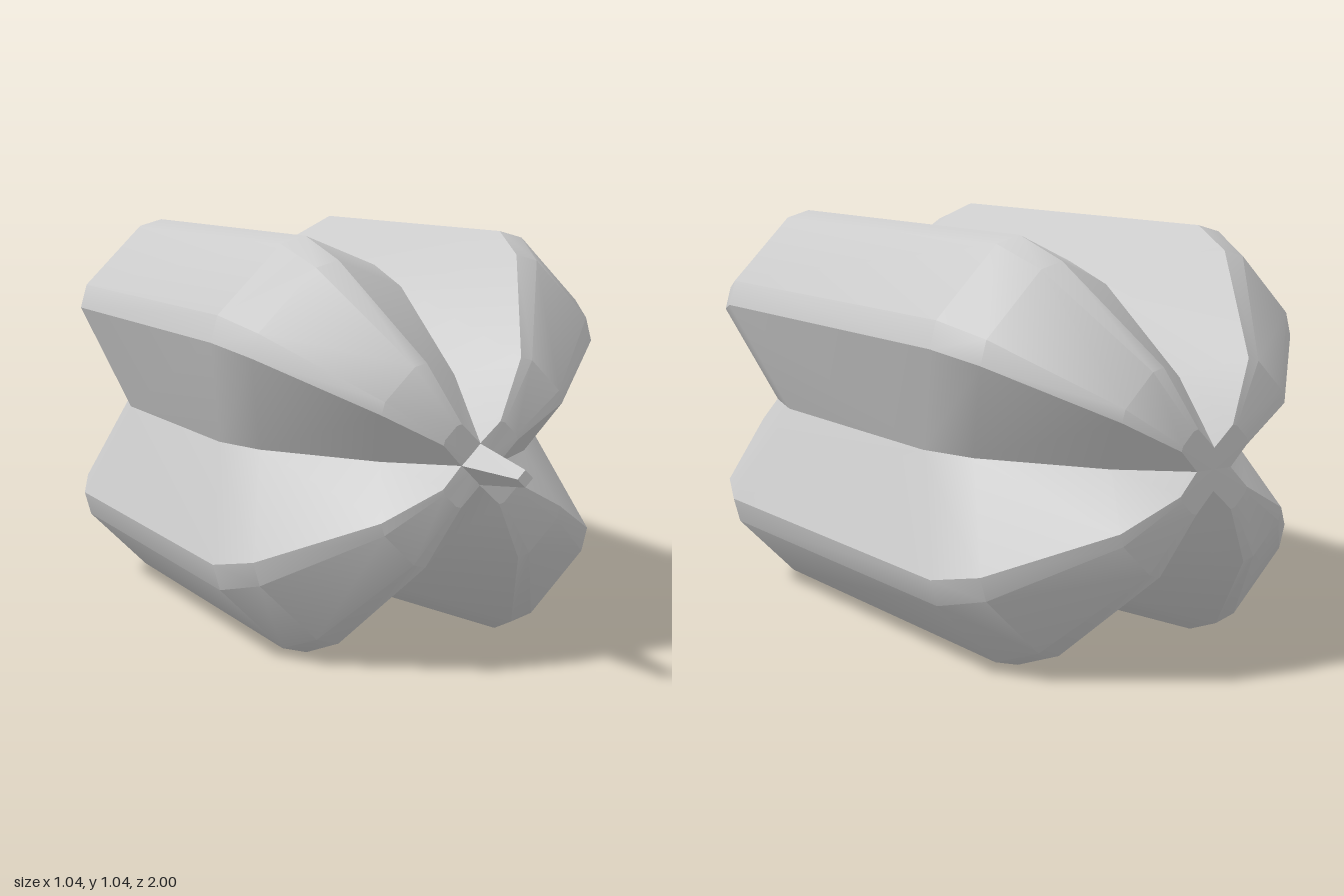
import * as THREE from 'three';
import { toCreasedNormals } from 'three/addons/utils/BufferGeometryUtils.js';

const CENTER_Y = 0.52, CENTER_Z = -0.1;

// Outer edge of one lobe at full size, between its two valleys
const LOBE = [[0.518, 0.27], [0.5, 0.335], [0.335, 0.5], [0.27, 0.518]];

// Rounded end: lobe distance from the middle, lobe scale, valley distance, valley radius
const END = [
  [0.9, 0.19, 0.897, 0.05],
  [0.865, 0.465, 0.77, 0.195],
  [0.64, 0.9, 0.49, 0.385],
  [0.51, 1, 0.34, 0.43],
];

function ringPoints([lobeZ, scale, valleyZ, valley], side) {
  return [
    [valley, 0, valleyZ * side],
    ...LOBE.map(([x, y]) => [x * scale, y * scale, lobeZ * side]),
    [0, valley, valleyZ * side],
  ];
}

function makeGeometry(points, index) {
  const g = new THREE.BufferGeometry();
  g.setAttribute('position', new THREE.Float32BufferAttribute(points.flat(), 3));
  g.setIndex(index);
  return toCreasedNormals(g, THREE.MathUtils.degToRad(30));
}

export function createModel() {
  const model = new THREE.Group();
  const smooth = new THREE.MeshStandardMaterial({ color: 0xcccccc });
  const flat = new THREE.MeshStandardMaterial({ color: 0xcccccc, flatShading: true });

  const rings = [
    ...END.map((e) => ringPoints(e, 1)),
    ...[...END].reverse().map((e) => ringPoints(e, -1)),
  ];
  const n = rings[0].length;

  // Skin of one lobe, creased along the valleys and the flank edges
  const index = [];
  for (let i = 0; i < rings.length - 1; i++) {
    for (let j = 0; j < n - 1; j++) {
      const a = i * n + j, b = a + 1, c = a + n, d = c + 1;
      // The diagonal mirrors across the lobe and from front to back
      if ((j < n / 2 - 1) === (i < END.length)) index.push(a, c, b, b, c, d);
      else index.push(a, c, d, a, d, b);
    }
  }
  const lobeGeometry = makeGeometry(rings.flat(), index);

  // Quarter of the small star that closes each end
  const capGeometry = (ring, front) => {
    const fan = [];
    for (let j = 1; j < n; j++) fan.push(0, ...(front ? [j, j + 1] : [j + 1, j]));
    return makeGeometry([[0, 0, ring[0][2]], ...ring], fan);
  };
  const frontCap = capGeometry(rings[0], true);
  const backCap = capGeometry(rings[rings.length - 1], false);

  // Four lobes around the long axis
  const body = new THREE.Group();
  body.name = 'body';
  body.position.set(0, CENTER_Y, CENTER_Z);
  for (let k = 0; k < 4; k++) {
    const lobe = new THREE.Group();
    lobe.name = 'lobe' + (k + 1);
    const parts = [
      ['lobeSkin', lobeGeometry],
      ['frontCap', frontCap],
      ['backCap', backCap],
    ];
    for (const [name, geometry] of parts) {
      const mesh = new THREE.Mesh(geometry, smooth);
      mesh.name = name;
      lobe.add(mesh);
    }
    lobe.rotation.z = k * Math.PI / 2;
    body.add(lobe);
  }
  model.add(body);

  // Tapered four-sided stem at the front
  const stemGeometry = new THREE.CylinderGeometry(0.02, 0.05, 0.21, 4);
  stemGeometry.rotateX(Math.PI / 2);
  const stem = new THREE.Mesh(stemGeometry, flat);
  stem.name = 'stem';
  stem.position.set(0, CENTER_Y, 0.895);
  model.add(stem);

  return model;
}
